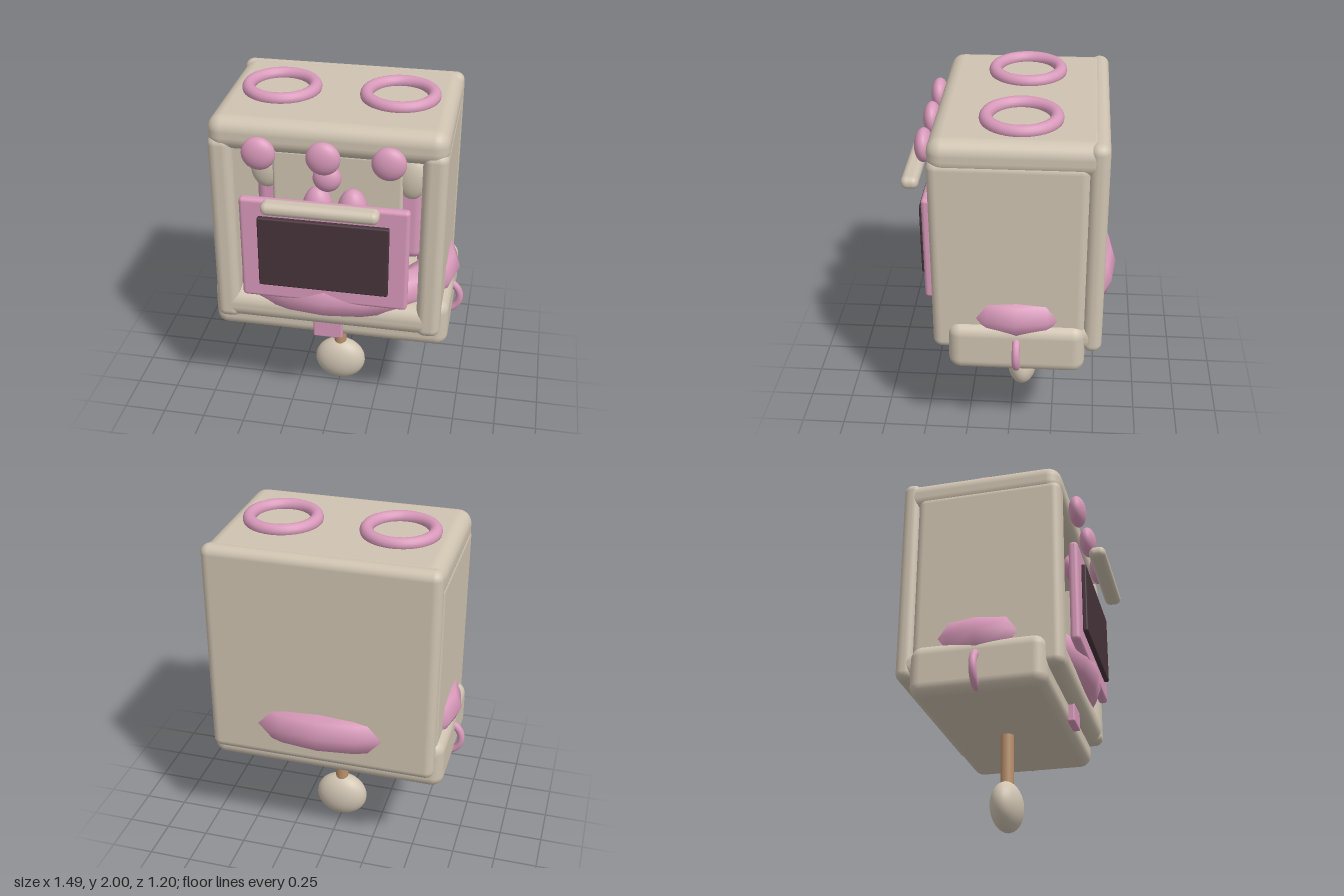
import * as THREE from 'three';
import { RoundedBoxGeometry } from 'three/addons/geometries/RoundedBoxGeometry.js';

const material = (name, color) => {
  const m = new THREE.MeshStandardMaterial({ color });
  m.name = name;
  return m;
};

export function createModel() {
  const group = new THREE.Group();
  const cream = material('cream', 0xcfc3b1);
  const pink = material('pink', 0xd899ba);
  const dark = material('dark glass', 0x47343b);
  const wood = material('wood', 0xba916c);

  const add = (name, geometry, mat, x, y, z) => {
    const mesh = new THREE.Mesh(geometry, mat);
    mesh.name = name;
    mesh.position.set(x, y, z);
    group.add(mesh);
    return mesh;
  };
  // Rounded box given by its limits on each axis
  const box = (name, mat, [x0, x1], [y0, y1], [z0, z1], r) =>
    add(name, new RoundedBoxGeometry(x1 - x0, y1 - y0, z1 - z0, 4, r), mat,
      (x0 + x1) / 2, (y0 + y1) / 2, (z0 + z1) / 2);
  const ellipsoid = (name, mat, x, y, z, rx, ry, rz) =>
    add(name, new THREE.SphereGeometry(1, 28, 18).scale(rx, ry, rz), mat, x, y, z);

  // Oven body
  box('topSlab', cream, [-0.645, 0.645], [1.76, 1.95], [-0.518, 0.41], 0.08);
  box('bottomSlab', cream, [-0.645, 0.645], [0.69, 0.87], [-0.518, 0.41], 0.08);
  box('backPanel', cream, [-0.647, 0.647], [0.69, 1.95], [-0.522, -0.415], 0.05);
  box('lowerTray', cream, [-0.685, 0.685], [0.57, 0.87], [-0.43, 0.325], 0.07);

  // Low-poly padded ring around the foot of the body
  const padding = new THREE.TorusGeometry(0.59, 0.125, 8, 20);
  padding.rotateX(Math.PI / 2).scale(1, 1, 0.765);
  add('paddedRing', padding, pink, 0, 0.905, -0.055);

  for (const s of [-1, 1]) {
    const span = (a, b) => (s > 0 ? [a, b] : [-b, -a]);
    box('sideWall', cream, span(0.51, 0.645), [0.69, 1.84], [-0.43, 0.41], 0.05);
    // Hot plates and side loops
    const plate = new THREE.TorusGeometry(0.186, 0.036, 14, 40).rotateX(Math.PI / 2);
    add('burnerRing', plate, pink, s * 0.33, 1.964, -0.06);
    add('sideLoop', new THREE.TorusGeometry(0.1, 0.022, 12, 32), pink, s * 0.625, 0.695, -0.055);
    // Filling inside the oven
    box('innerCurtain', pink, span(0.2, 0.49), [0.95, 1.75], [-0.12, 0], 0.055);
    ellipsoid('innerPuff', cream, s * 0.29, 1.59, 0.02, 0.1, 0.11, 0.05);
    ellipsoid('sidePuff', cream, s * 0.42, 1.5, 0.02, 0.09, 0.13, 0.05);
    ellipsoid('innerPad', pink, s * 0.1, 1.3, 0.12, 0.09, 0.15, 0.08);
  }
  ellipsoid('topPuff', cream, 0, 1.76, 0, 0.21, 0.14, 0.05);
  box('innerPanel', cream, [-0.375, 0.375], [1.0, 1.63], [0.02, 0.07], 0.02);
  ellipsoid('innerBall', pink, 0, 1.63, 0.35, 0.078, 0.078, 0.055);

  // Control knobs
  for (const x of [-0.345, 0, 0.345]) {
    ellipsoid('knob', pink, x, 1.795, 0.455, 0.092, 0.092, 0.05);
  }

  // Door, window and handle
  box('door', pink, [-0.465, 0.465], [0.907, 1.527], [0.415, 0.47], 0.022);
  box('doorWindow', dark, [-0.36, 0.36], [1.005, 1.43], [0.465, 0.498], 0.01);
  box('doorHandle', cream, [-0.315, 0.315], [1.5, 1.572], [0.505, 0.602], 0.034);
  box('frontTab', pink, [-0.085, 0.085], [0.59, 0.71], [0.315, 0.36], 0.01);

  // Hanging clapper
  add('stick', new THREE.CylinderGeometry(0.038, 0.038, 0.36, 24), wood, 0, 0.42, -0.052);
  ellipsoid('stickBall', cream, 0, 0.143, -0.052, 0.157, 0.143, 0.092);

  return group;
}
